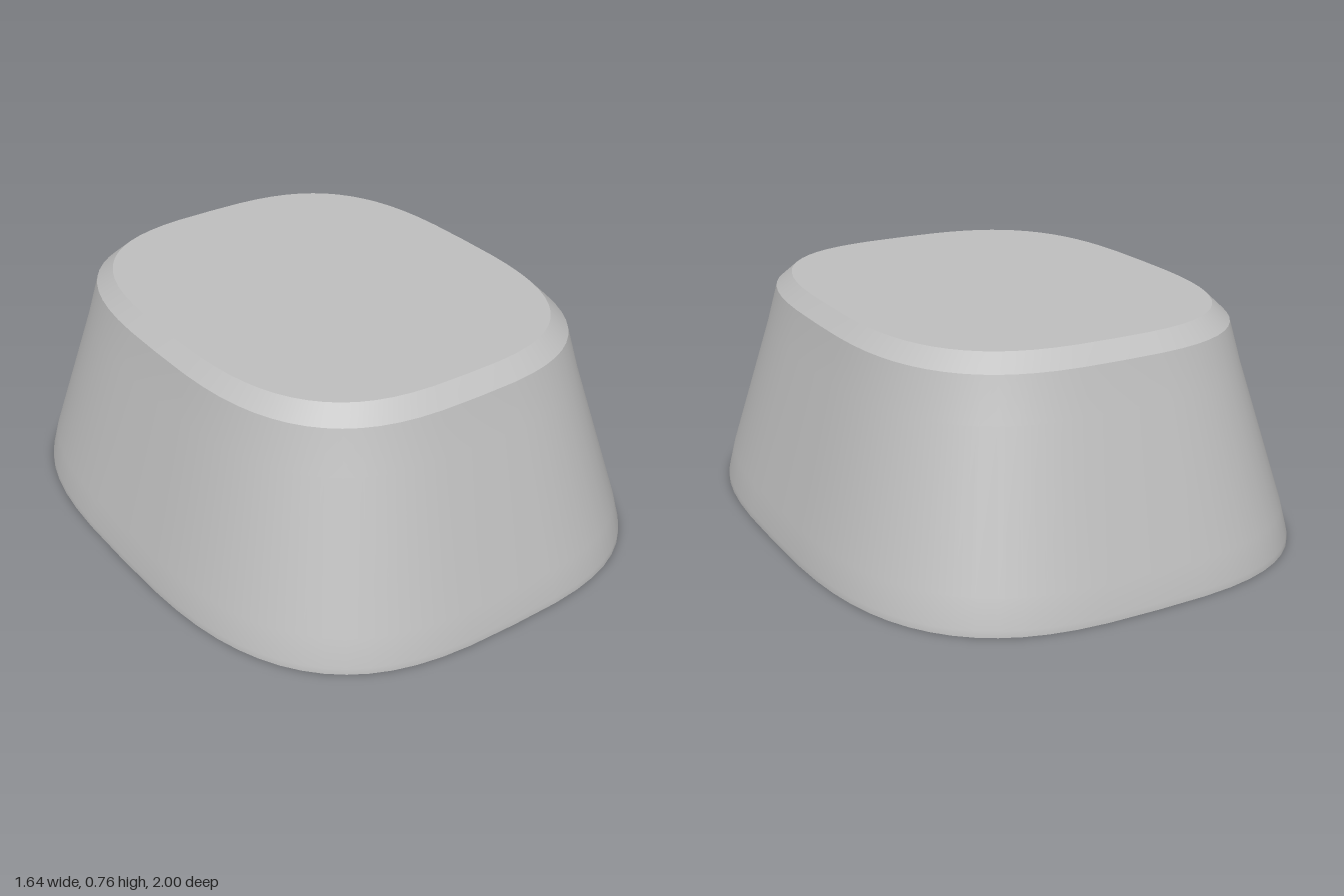
import * as THREE from 'three';

const SEGMENTS = 64;

// Point on a rounded-rectangle (superellipse) outline
function outline([y, a, b], j) {
  const t = (j / SEGMENTS) * Math.PI * 2;
  const soft = (v) => Math.sign(v) * Math.pow(Math.abs(v), 2 / 3);
  return [a * soft(Math.cos(t)), y, b * soft(Math.sin(t))];
}

// Smooth wall through sections given as [height, half width, half depth]
function wall(sections) {
  const points = [], index = [];
  sections.forEach((s, i) => {
    for (let j = 0; j < SEGMENTS; j++) {
      points.push(...outline(s, j));
      if (i === sections.length - 1) continue;
      const k = (j + 1) % SEGMENTS;
      const p = i * SEGMENTS + j, q = i * SEGMENTS + k;
      index.push(p, p + SEGMENTS, q, q, p + SEGMENTS, q + SEGMENTS);
    }
  });
  return finish(points, index);
}

// Flat cap closing one section
function cap(section, up) {
  const points = [0, section[0], 0], index = [];
  for (let j = 0; j < SEGMENTS; j++) {
    points.push(...outline(section, j));
    const p = j + 1, q = ((j + 1) % SEGMENTS) + 1;
    index.push(0, ...(up ? [q, p] : [p, q]));
  }
  return finish(points, index);
}

function finish(points, index) {
  const geometry = new THREE.BufferGeometry();
  geometry.setAttribute('position', new THREE.Float32BufferAttribute(points, 3));
  geometry.setIndex(index);
  geometry.computeVertexNormals();
  return geometry;
}

export function createModel() {
  const grey = new THREE.MeshStandardMaterial({ color: 0xbfbfbf });
  grey.name = 'light grey';
  const group = new THREE.Group();
  group.name = 'taperedBlock';
  const add = (name, geometry) => {
    const mesh = new THREE.Mesh(geometry, grey);
    mesh.name = name;
    group.add(mesh);
  };

  const base = [0, 0.82, 1];
  const shoulder = [0.71, 0.64, 0.78];
  const rim = [0.76, 0.592, 0.722];

  // Tapered sides, flaring slightly at the foot and steeper near the top
  add('sides', wall([base, [0.02, 0.819, 0.998], [0.11, 0.799, 0.974], [0.57, 0.673, 0.821], shoulder]));
  // Chamfer between the sides and the top
  add('chamfer', wall([shoulder, rim]));
  add('topFace', cap(rim, true));
  add('bottomFace', cap(base, false));
  return group;
}
